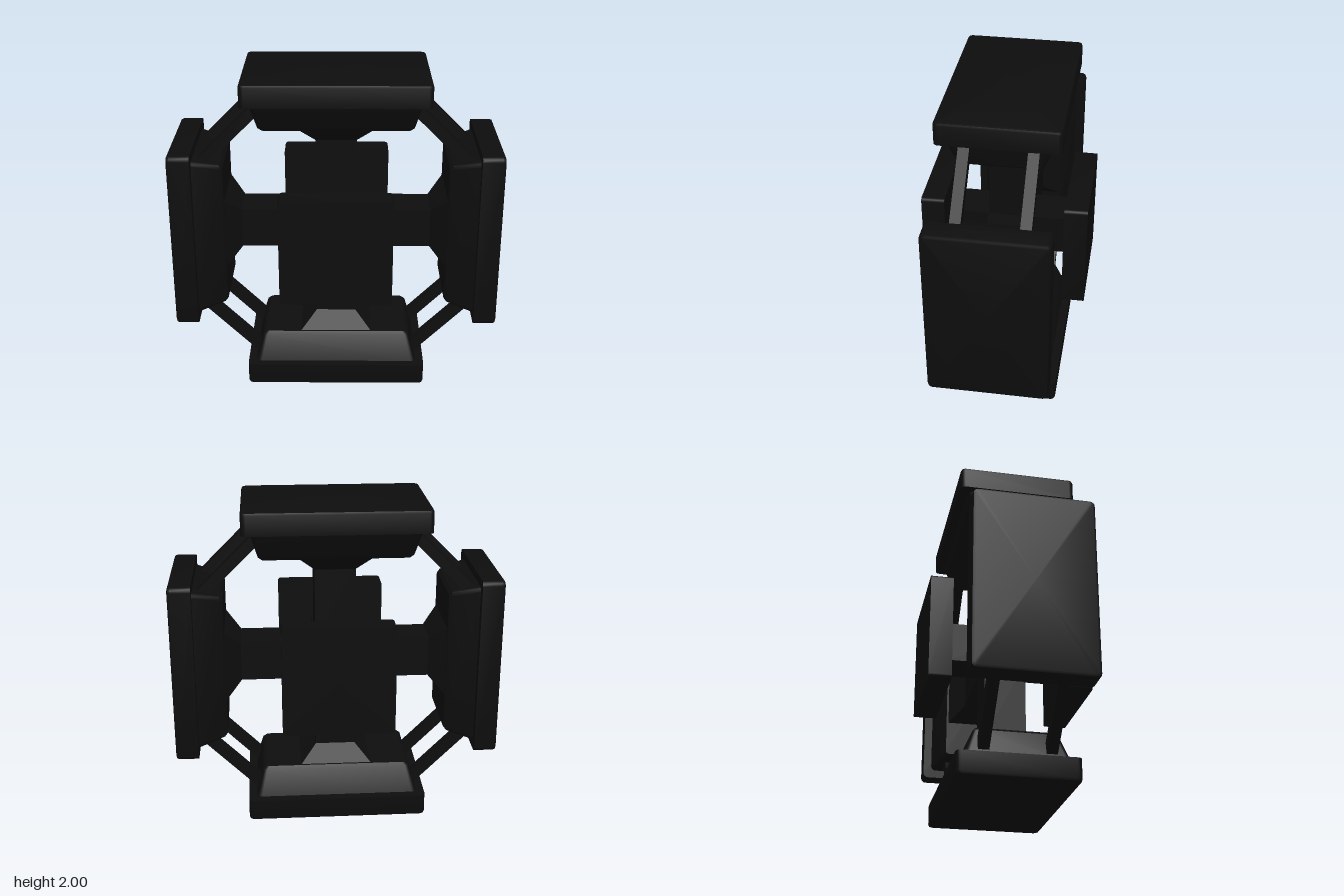
import * as THREE from 'three';
import { toCreasedNormals } from 'three/addons/utils/BufferGeometryUtils.js';

// Closed solid lofted along +y through rounded rectangles: [y, halfX, halfZ, cornerRadius]
function loft(sections, steps = 4) {
  const rings = sections.map(([y, hx, hz, r]) => {
    const ring = [];
    for (let c = 0; c < 4; c++) {
      const sx = c === 0 || c === 3 ? 1 : -1;
      const sz = c < 2 ? 1 : -1;
      for (let i = 0; i <= steps; i++) {
        const t = (c + i / steps) * Math.PI / 2;
        ring.push([sx * (hx - r) + r * Math.cos(t), y, sz * (hz - r) + r * Math.sin(t)]);
      }
    }
    return ring;
  });
  const pos = [];
  const tri = (...pts) => pts.forEach((p) => pos.push(...p));
  const n = rings[0].length;
  const low = rings[0], high = rings[rings.length - 1];
  for (let i = 0; i < n; i++) {
    const j = (i + 1) % n;
    for (let k = 0; k + 1 < rings.length; k++) {
      const a = rings[k], b = rings[k + 1];
      tri(a[i], b[i], b[j]);
      tri(a[i], b[j], a[j]);
    }
    tri([0, low[0][1], 0], low[i], low[j]);
    tri([0, high[0][1], 0], high[j], high[i]);
  }
  const g = new THREE.BufferGeometry();
  g.setAttribute('position', new THREE.Float32BufferAttribute(pos, 3));
  return toCreasedNormals(g, 0.5);
}

export function createModel() {
  const black = new THREE.MeshStandardMaterial({ color: 0x0d0d0d });
  black.name = 'black';

  const model = new THREE.Group();
  model.name = 'crossHub';
  model.position.y = 1;
  const root = new THREE.Group();
  root.add(model);

  const add = (parent, name, geometry) => {
    const mesh = new THREE.Mesh(geometry, black);
    mesh.name = name;
    parent.add(mesh);
    return mesh;
  };

  // Core joining the front and back panels
  add(model, 'core', new THREE.BoxGeometry(0.25, 0.25, 0.74));

  const panelGeo = loft([[0.36, 0.34, 0.34, 0.02], [0.5, 0.34, 0.34, 0.02]]);
  for (const s of [1, -1]) {
    add(model, s > 0 ? 'frontPanel' : 'backPanel', panelGeo).rotation.x = s * Math.PI / 2;
  }

  // Shared arm parts, drawn pointing up
  const columnGeo = new THREE.BoxGeometry(0.25, 0.5, 0.25).translate(0, 0.37, 0);
  const flareGeo = loft([[0.585, 0.125, 0.125, 0.001], [0.69, 0.23, 0.23, 0.001]], 1);
  const tierGeo = loft([
    [0.682, 0.445, 0.235, 0.02],
    [0.7, 0.465, 0.25, 0.025],
    [0.87, 0.512, 0.312, 0.03],
  ]);
  const slabGeo = loft([
    [0.86, 0.56, 0.36, 0.03],
    [0.982, 0.56, 0.36, 0.03],
    [0.995, 0.555, 0.355, 0.027],
    [1, 0.542, 0.342, 0.02],
  ]);
  const strutGeo = new THREE.BoxGeometry(0.5, 0.065, 0.065);

  ['top', 'left', 'bottom', 'right'].forEach((side, k) => {
    const arm = new THREE.Group();
    arm.name = side + 'Arm';
    arm.rotation.z = -k * Math.PI / 2;
    model.add(arm);
    add(arm, 'column', columnGeo);
    add(arm, 'flare', flareGeo);
    add(arm, 'taperedBase', tierGeo);
    add(arm, 'outerSlab', slabGeo);

    // Pair of diagonal struts to the next arm
    for (const z of [0.197, -0.197]) {
      const strut = add(arm, 'strut', strutGeo);
      strut.position.set(0.6425, 0.6425, z);
      strut.rotation.z = -Math.PI / 4;
    }
  });

  return root;
}
